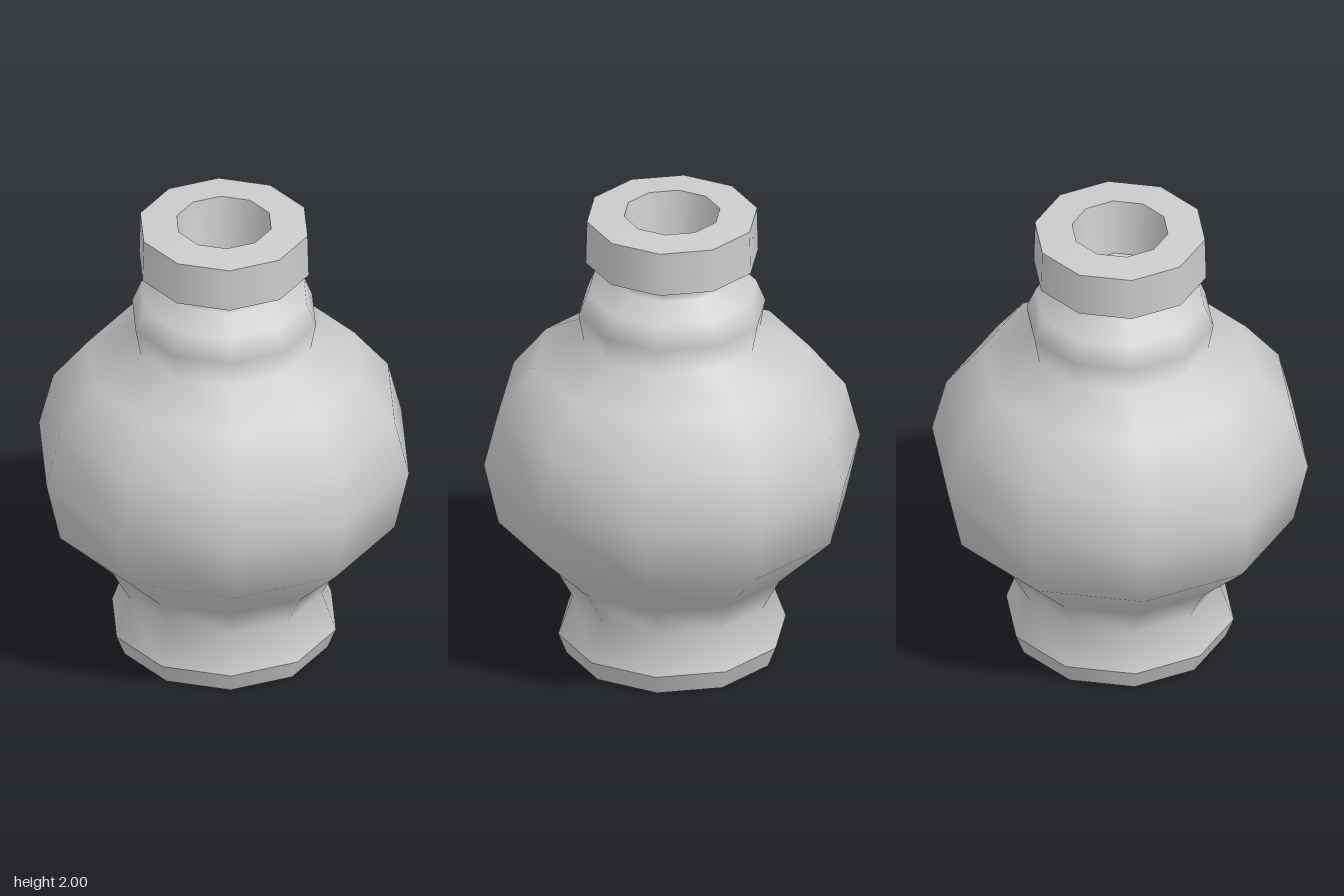
import * as THREE from 'three';

const SIDES = 10;

export function createModel() {
  const vase = new THREE.Group();
  vase.name = 'vase';
  const material = new THREE.MeshStandardMaterial({ color: 0xcccccc });

  // Each band is smooth inside itself; edges between bands stay sharp.
  function band(name, profile) {
    const points = profile.map(([r, y]) => new THREE.Vector2(r, y));
    const geometry = new THREE.LatheGeometry(points, SIDES, Math.PI / 2);
    const mesh = new THREE.Mesh(geometry, material);
    mesh.name = name;
    vase.add(mesh);
  }

  // Foot
  band('footBottom', [[0, 0], [0.44, 0]]);
  band('footEdge', [[0.44, 0], [0.475, 0.09]]);

  // Flared foot, round belly, shoulder and collar
  band('body', [
    [0.475, 0.09], [0.415, 0.26], [0.49, 0.4], [0.725, 0.63], [0.785, 0.9],
    [0.725, 1.14], [0.575, 1.33], [0.368, 1.44], [0.39, 1.56], [0.352, 1.655],
    [0.235, 1.705], [0.25, 1.757],
  ]);

  // Lip
  band('lipUnderside', [[0.25, 1.757], [0.36, 1.8]]);
  band('lipSide', [[0.36, 1.8], [0.355, 1.99]]);
  band('lipTop', [[0.355, 1.99], [0.2, 2]]);

  // Mouth recess
  band('mouthWall', [[0.2, 2], [0.168, 1.76]]);
  band('mouthFloor', [[0.168, 1.76], [0, 1.76]]);

  return vase;
}
